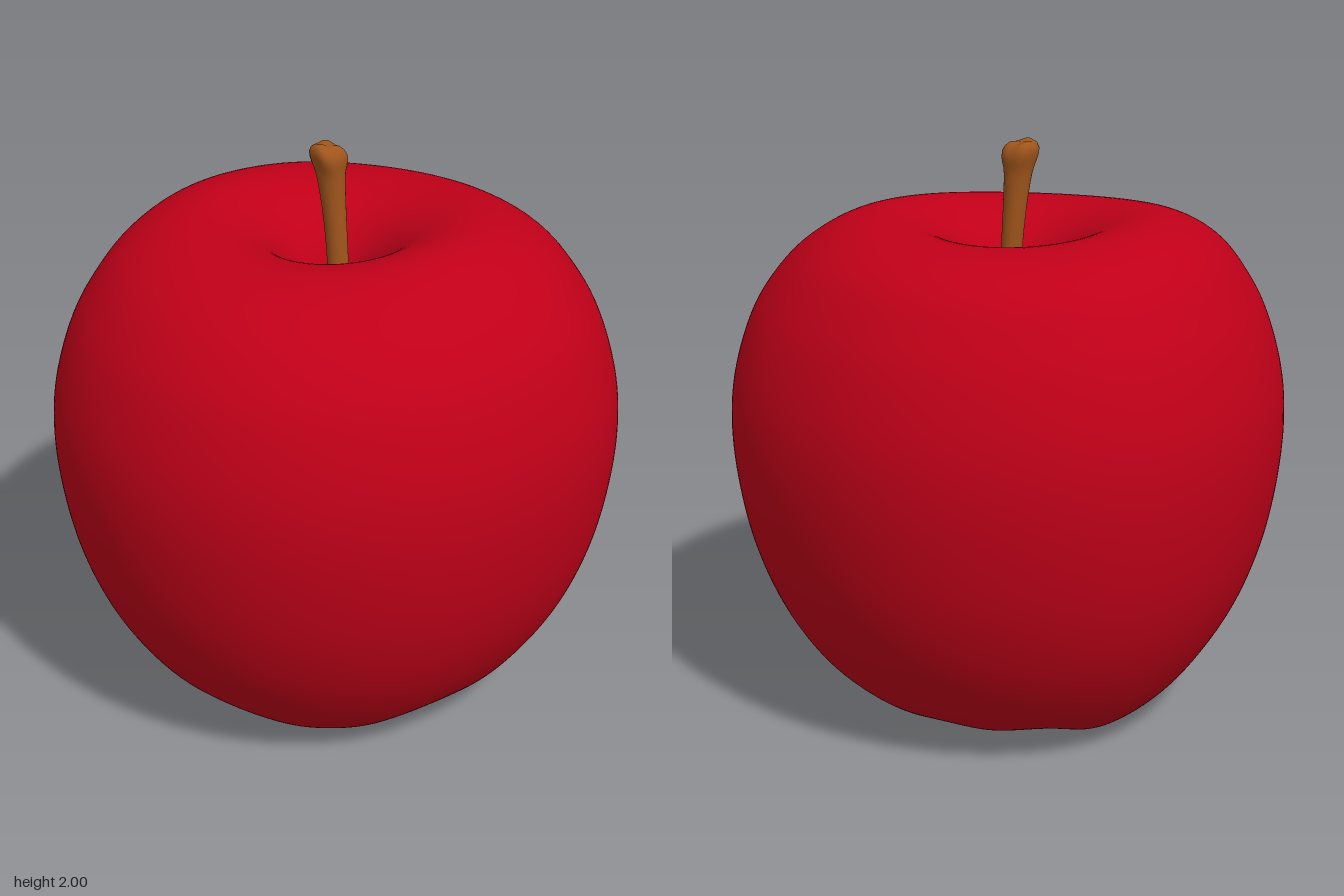
import * as THREE from 'three';
import { mergeVertices } from 'three/addons/utils/BufferGeometryUtils.js';

const red = new THREE.MeshStandardMaterial({ color: 0xc00018 });
red.name = 'apple red';
const stemBrown = new THREE.MeshStandardMaterial({ color: 0xa0551c });
stemBrown.name = 'stem brown';
const patchBrown = new THREE.MeshStandardMaterial({ color: 0x7c4412 });
patchBrown.name = 'patch brown';

// Smooth lathe whose seam is welded after its vertices are moved by a rule
function organicLathe(points, rows, segments, rule) {
  const curve = new THREE.CatmullRomCurve3(points.map(([r, y]) => new THREE.Vector3(r, y, 0)));
  const profile = curve.getSpacedPoints(rows).map((p) => new THREE.Vector2(Math.max(0, p.x), p.y));
  let geo = new THREE.LatheGeometry(profile, segments);
  geo.deleteAttribute('uv');
  geo.deleteAttribute('normal');
  const pos = geo.attributes.position;
  const v = new THREE.Vector3();
  for (let i = 0; i < pos.count; i++) {
    v.fromBufferAttribute(pos, i);
    rule(v);
    pos.setXYZ(i, v.x, v.y, v.z);
  }
  geo = mergeVertices(geo, 1e-5);
  geo.computeVertexNormals();
  return geo;
}

// Uneven girth: radius every 30 degrees, starting at +x and turning towards +z
const girth = [0.97, 0.98, 0.95, 0.965, 0.98, 0.98, 0.97, 0.93, 0.935, 0.97, 0.955, 0.95];
const girthCurve = new THREE.CatmullRomCurve3(
  girth.map((r, i) => new THREE.Vector3(r, i, 0)), true);
const bump = (x, centre, width) => Math.exp(-(((x - centre) / width) ** 2));

function shapeFruit(v) {
  const r = Math.hypot(v.x, v.z);
  const angle = Math.atan2(v.z, v.x);
  const turn = (angle / (2 * Math.PI) + 1) % 1;
  const swell = girthCurve.getPoint(turn).x / 0.965;
  const mix = THREE.MathUtils.smoothstep(r, 0.2, 0.75);
  const k = 1 + (swell - 1) * mix;
  v.x *= k;
  v.z *= k;
  // Five soft feet and a raised hollow underneath, a gently waving rim on top
  if (v.y < 0.5) {
    const lobe = 0.5 + 0.5 * Math.cos(5 * (angle - 1.15));
    v.y += 0.045 * lobe * lobe * bump(r, 0.42, 0.2);
    v.y += 0.06 * bump(Math.hypot(v.x - 0.3, v.z + 0.27), 0, 0.19);
  } else if (v.y > 1.3) {
    const wave = 0.006 * Math.cos(2 * angle) + 0.016 * Math.sin(2 * angle);
    v.y += wave * bump(r, 0.5, 0.22);
    v.z -= 0.03 * bump(v.y, 1.72, 0.15) * mix;
  }
}

// Splits triangles into skin and the irregular brown patch underneath
function paintPatch(geo) {
  const pos = geo.attributes.position;
  const index = geo.index.array;
  const skin = [];
  const patch = [];
  for (let i = 0; i < index.length; i += 3) {
    const tri = [index[i], index[i + 1], index[i + 2]];
    const mean = (get) => (get(tri[0]) + get(tri[1]) + get(tri[2])) / 3;
    const dx = mean((j) => pos.getX(j)) - 0.19;
    const dz = mean((j) => pos.getZ(j)) + 0.19;
    const a = Math.atan2(dz, dx);
    const limit = 0.285 + 0.018 * Math.sin(3 * a + 0.6) + 0.012 * Math.sin(5 * a);
    const inside = mean((j) => pos.getY(j)) < 0.5 && Math.hypot(dx, dz) < limit;
    (inside ? patch : skin).push(...tri);
  }
  geo.setIndex([...skin, ...patch]);
  geo.addGroup(0, skin.length, 0);
  geo.addGroup(skin.length, patch.length, 1);
}

export function createModel() {
  const model = new THREE.Group();
  model.name = 'apple';

  // Fruit with a hollow at each end
  const fruitGeo = organicLathe([
    [0, 0.1], [0.1, 0.085], [0.22, 0.04], [0.32, 0.01], [0.42, 0.002], [0.51, 0.033],
    [0.61, 0.11], [0.7, 0.21], [0.82, 0.4], [0.9, 0.6], [0.945, 0.8], [0.965, 1.02],
    [0.95, 1.2], [0.89, 1.4], [0.83, 1.51], [0.73, 1.63], [0.6, 1.708], [0.46, 1.737],
    [0.34, 1.717], [0.24, 1.665], [0.16, 1.58], [0.1, 1.46], [0.05, 1.39], [0, 1.37],
  ], 130, 220, shapeFruit);
  paintPatch(fruitGeo);
  const fruit = new THREE.Mesh(fruitGeo, [red, patchBrown]);
  fruit.name = 'fruit';
  model.add(fruit);

  // Leaning stem with a knobbly, slanted tip
  const stemGeo = organicLathe([
    [0, 1.33], [0.04, 1.34], [0.036, 1.5], [0.038, 1.7], [0.043, 1.82], [0.05, 1.9],
    [0.059, 1.94], [0.059, 1.965], [0.042, 1.988], [0, 1.988],
  ], 40, 28, (v) => {
    const t = (v.y - 1.33) / 0.65;
    const a = Math.atan2(v.z, v.x);
    const knob = THREE.MathUtils.smoothstep(v.y, 1.86, 1.95);
    const k = 1 + 0.06 * knob * Math.sin(4 * a + 0.5);
    v.y += knob * (-0.14 * v.x + 0.004 * Math.sin(3 * a) * Math.min(1, Math.hypot(v.x, v.z) / 0.04));
    v.x = v.x * k + 0.015 - 0.037 * t * t;
    v.z = v.z * k + 0.02 - 0.025 * t;
  });
  const stem = new THREE.Mesh(stemGeo, stemBrown);
  stem.name = 'stem';
  model.add(stem);

  return model;
}
